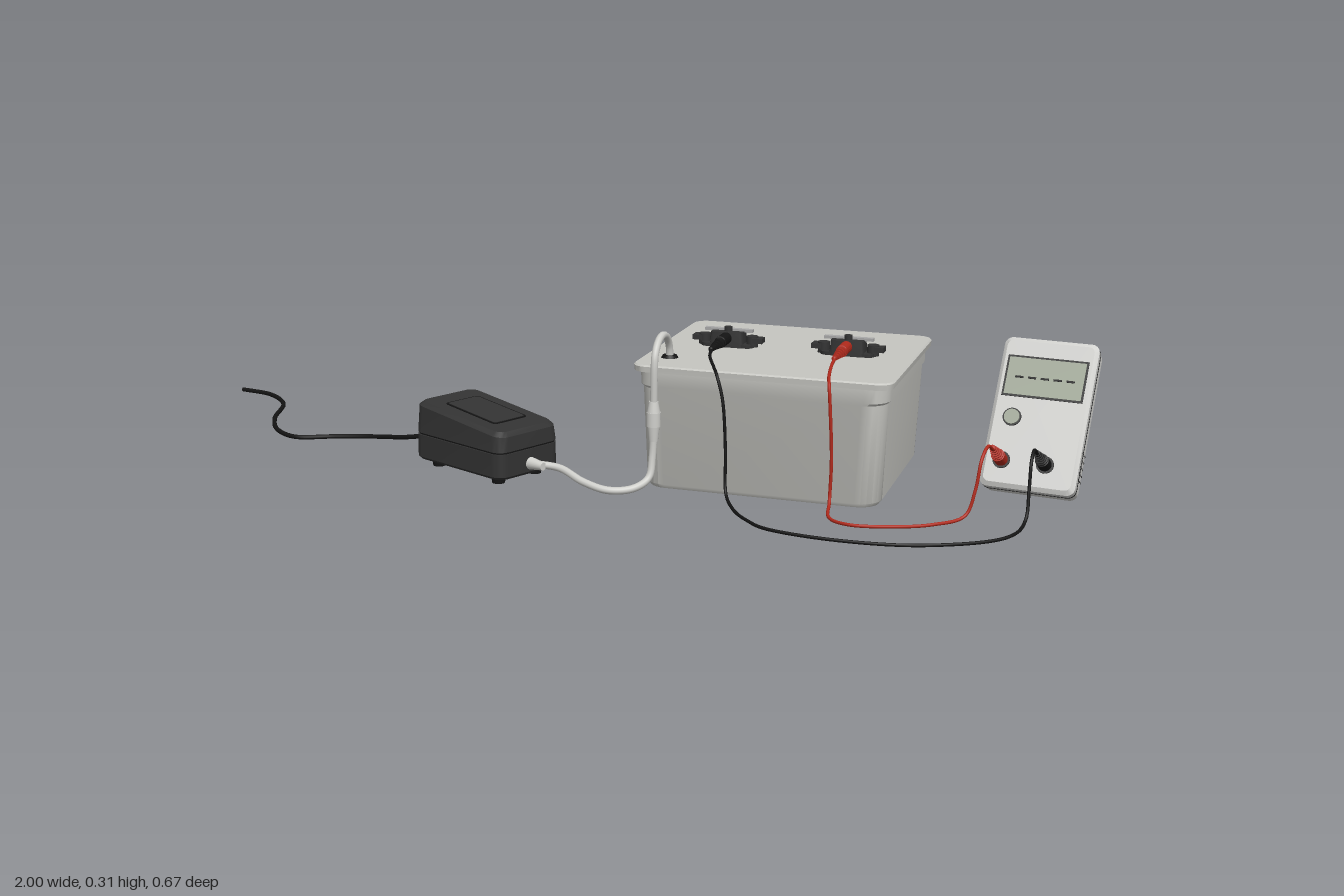
import * as THREE from 'three';
import { toCreasedNormals } from 'three/addons/utils/BufferGeometryUtils.js';

const material = (name, color) => Object.assign(new THREE.MeshStandardMaterial({ color }), { name });
const tubGrey = material('tub grey', 0xc6c6c1);
const caseGrey = material('case grey', 0xd2d2cf);
const cordGrey = material('cord grey', 0xcfcfcb);
const charcoal = material('charcoal', 0x333333);
const black = material('black', 0x141414);
const red = material('red', 0xb02a1c);
const screenGreen = material('screen green', 0xa3aa9a);
const metal = material('metal', 0xa9a9a9);

// Adds a named mesh to a parent
function add(parent, name, geometry, mat, x = 0, y = 0, z = 0) {
  const mesh = new THREE.Mesh(geometry, mat);
  mesh.name = name;
  mesh.position.set(x, y, z);
  parent.add(mesh);
  return mesh;
}

function group(parent, name, x = 0, y = 0, z = 0) {
  const g = new THREE.Group();
  g.name = name;
  g.position.set(x, y, z);
  parent.add(g);
  return g;
}

const box = (w, h, d) => new THREE.BoxGeometry(w, h, d);
const rod = (r1, r2, h) => new THREE.CylinderGeometry(r1, r2, h, 20);
const rodZ = (front, back, h) => rod(front, back, h).rotateX(Math.PI / 2);

// Closed solid through rounded rectangles [y, width, depth, cornerRadius]
function loft(sections, bend = (x, y) => y) {
  const rings = sections.map(([y, w, d, r]) => {
    const ring = [];
    for (let c = 0; c < 4; c++) {
      const sx = c === 0 || c === 3 ? 1 : -1, sz = c < 2 ? 1 : -1;
      for (let i = 0; i <= 6; i++) {
        const a = (c + i / 6) * Math.PI / 2;
        const x = sx * (w / 2 - r) + r * Math.cos(a);
        ring.push([x, bend(x, y), sz * (d / 2 - r) + r * Math.sin(a)]);
      }
    }
    return ring;
  });
  const pos = [], n = rings[0].length;
  const tri = (...points) => points.forEach((p) => pos.push(...p));
  const bottom = [0, bend(0, sections[0][0]), 0];
  const top = [0, bend(0, sections.at(-1)[0]), 0];
  for (let i = 0; i < n; i++) {
    const j = (i + 1) % n;
    for (let k = 0; k < rings.length - 1; k++) {
      const p = rings[k], q = rings[k + 1];
      tri(p[i], q[i], p[j]);
      tri(p[j], q[i], q[j]);
    }
    tri(bottom, rings[0][i], rings[0][j]);
    tri(top, rings.at(-1)[j], rings.at(-1)[i]);
  }
  const g = new THREE.BufferGeometry();
  g.setAttribute('position', new THREE.Float32BufferAttribute(pos, 3));
  return toCreasedNormals(g, 0.6);
}

// Cable through a few points
function cable(parent, name, points, radius, mat, segments = 120) {
  const curve = new THREE.CatmullRomCurve3(points.map((p) => new THREE.Vector3(...p)));
  return add(parent, name, new THREE.TubeGeometry(curve, segments, radius, 10), mat);
}

// Ribbed, tapering cable boot pointing along +z from the origin
function boot(length, r1, r2) {
  const pts = [new THREE.Vector2(0, 0), new THREE.Vector2(r1, 0), new THREE.Vector2(r1, length * 0.4)];
  for (let i = 0; i < 6; i++) {
    const r = THREE.MathUtils.lerp(r1 * 0.9, r2, i / 5), y = length * (0.42 + i * 0.1);
    pts.push(new THREE.Vector2(r * 0.7, y), new THREE.Vector2(r, y + 0.001), new THREE.Vector2(r, y + length * 0.05), new THREE.Vector2(r * 0.7, y + length * 0.055));
  }
  pts.push(new THREE.Vector2(0, length));
  return toCreasedNormals(new THREE.LatheGeometry(pts, 18).rotateX(Math.PI / 2), 0.6);
}

function buildTub(root) {
  const tub = group(root, 'tub', 0.383, 0, -0.106);
  add(tub, 'tubBody', loft([[0, 0.46, 0.42, 0.04], [0.008, 0.472, 0.43, 0.045], [0.203, 0.488, 0.442, 0.045],
    [0.208, 0.497, 0.447, 0.045], [0.238, 0.498, 0.448, 0.045]]), tubGrey);
  add(tub, 'lid', loft([[0.237, 0.513, 0.458, 0.03], [0.248, 0.515, 0.46, 0.03], [0.251, 0.509, 0.454, 0.028]]), tubGrey);
}

// Bolted terminal with a cable boot pointing to the front
function buildTerminal(root, name, x, bootMat) {
  const t = group(root, name, x, 0.25, -0.108);
  add(t, 'basePlate', loft([[0, 0.11, 0.042, 0.015], [0.008, 0.11, 0.042, 0.015]]), charcoal);
  add(t, 'block', loft([[0, 0.07, 0.044, 0.006], [0.032, 0.066, 0.04, 0.006]]), charcoal);
  add(t, 'topKnob', rod(0.008, 0.008, 0.01), charcoal, 0, 0.036, 0.003);
  add(t, 'contactBar', box(0.1, 0.006, 0.012), metal, 0, 0.033, -0.005);
  add(t, 'rearContact', rodZ(0.014, 0.014, 0.012), metal, 0, 0.017, -0.026);
  for (const s of [-1, 1]) {
    add(t, 'wingNut', rod(0.012, 0.012, 0.022), charcoal, s * 0.05, 0.013, 0);
    add(t, 'wing', box(0.02, 0.01, 0.026), charcoal, s * 0.063, 0.016, 0);
  }
  add(t, 'cableBoot', boot(0.12, 0.012, 0.005), bootMat, 0, 0.02, 0.015);
}

function buildPowerSupply(root) {
  const p = group(root, 'powerSupply', -0.193, 0, 0.095);
  p.rotation.y = -0.436;
  // The top falls towards the output end
  const slope = (x, y) => (y > 0.09 ? y - x * 0.11 : y);
  const shell = (y0, y1, w, d) => [[y0, w - 0.012, d - 0.012, 0.02], [y0 + 0.006, w, d, 0.024], [y1, w, d, 0.024]];
  add(p, 'lowerShell', loft(shell(0.015, 0.068, 0.262, 0.168)), charcoal);
  add(p, 'seam', loft([[0.067, 0.256, 0.162, 0.022], [0.073, 0.256, 0.162, 0.022]]), black);
  add(p, 'upperShell', loft([[0.072, 0.262, 0.168, 0.024], [0.116, 0.256, 0.162, 0.024], [0.124, 0.238, 0.144, 0.018]], slope), charcoal);
  add(p, 'topPanel', loft([[0.1235, 0.15, 0.09, 0.008], [0.1255, 0.15, 0.09, 0.008]], slope), black);
  add(p, 'topPanelInset', loft([[0.125, 0.142, 0.082, 0.006], [0.1263, 0.142, 0.082, 0.006]], slope), charcoal);
  for (const x of [-0.09, 0.09]) for (const z of [-0.05, 0.05]) add(p, 'foot', rod(0.015, 0.013, 0.016), black, x, 0.008, z);
  for (const s of [-1, 1]) {
    const relief = add(p, 'strainRelief', rod(0.008, 0.014, 0.045), s < 0 ? charcoal : cordGrey, s * 0.145, 0.038, 0);
    relief.rotation.z = -s * Math.PI / 2;
  }
}

function buildMeter(root) {
  const meter = group(root, 'meter', 0.893, 0, -0.108);
  meter.rotation.y = -0.13;
  const m = group(meter, 'meterCase', 0, 0.152, 0);
  m.rotation.x = -0.53;
  const shell = loft([[-0.029, 0.165, 0.285, 0.012], [-0.022, 0.181, 0.302, 0.016], [0.022, 0.185, 0.306, 0.016],
    [0.029, 0.17, 0.29, 0.012]]).rotateX(Math.PI / 2);
  add(m, 'caseShell', shell, caseGrey);
  add(m, 'caseSeam', loft([[0.003, 0.185, 0.306, 0.016], [0.006, 0.185, 0.306, 0.016]]).rotateX(Math.PI / 2), black);
  // Display
  add(m, 'screenFrame', box(0.158, 0.084, 0.002), charcoal, 0, 0.072, 0.0295);
  add(m, 'screen', box(0.15, 0.076, 0.002), screenGreen, 0, 0.072, 0.0305);
  for (let i = 0; i < 5; i++) add(m, 'displayDash', box(0.016, 0.004, 0.001), black, -0.05 + i * 0.025, 0.07, 0.032);
  // Dial, button and sockets
  add(m, 'dialRim', rodZ(0.018, 0.018, 0.004), charcoal, -0.05, -0.012, 0.03);
  add(m, 'dial', rodZ(0.015, 0.016, 0.008), screenGreen, -0.05, -0.012, 0.031);
  for (const [x, mat, name] of [[-0.055, red, 'redPlug'], [0.03, black, 'blackPlug']]) {
    add(m, 'socket', rodZ(0.017, 0.017, 0.004), charcoal, x, -0.1, 0.03);
    add(m, name, boot(0.085, 0.013, 0.006), mat, x, -0.1, 0.029);
  }
  // Side vents
  for (const s of [-1, 1]) for (let i = 0; i < 4; i++) for (let j = 0; j < 5; j++) {
    add(m, 'ventHole', box(0.001, 0.003, 0.003), charcoal, s * 0.0918, -0.115 + j * 0.013, -0.017 + i * 0.009);
  }
  // Back details
  for (const x of [-0.068, 0.068]) for (const y of [-0.125, 0.125]) add(m, 'caseScrew', rodZ(0.008, 0.008, 0.002), charcoal, x, y, -0.029);
  add(m, 'backPlate', box(0.11, 0.17, 0.003), caseGrey, 0, -0.03, -0.03);
  for (let i = 0; i < 3; i++) add(m, 'backSlot', box(0.03, 0.004, 0.002), charcoal, 0, 0.075 + i * 0.01, -0.0295);
  // Folding stand
  const shape = new THREE.Shape([[-0.05, 0.08], [-0.035, -0.08], [0.035, -0.08], [0.05, 0.08]].map((p) => new THREE.Vector2(...p)));
  const stand = add(meter, 'stand', new THREE.ExtrudeGeometry(shape, { depth: 0.01, bevelEnabled: false }).translate(0, 0, -0.005), caseGrey, 0, 0.079, -0.065);
  stand.rotation.x = 0.33;
}

// Pale lead from the power supply, up the tub and over into the lid
function buildOutputLead(root) {
  const lead = group(root, 'outputLead');
  const arch = [];
  for (let i = 0; i <= 8; i++) {
    const a = i / 8 * Math.PI;
    arch.push([0.18, 0.255 + 0.05 * Math.sin(a), 0.088 + 0.05 * Math.cos(a)]);
  }
  cable(lead, 'outputCord', [[-0.06, 0.039, 0.155], [-0.01, 0.035, 0.155], [0.05, 0.02, 0.183], [0.105, 0.011, 0.192],
    [0.15, 0.014, 0.172], [0.172, 0.03, 0.145], [0.176, 0.07, 0.134], [0.178, 0.16, 0.134], ...arch, [0.18, 0.245, 0.038]], 0.0075, cordGrey, 160);
  add(lead, 'inlineConnector', rod(0.014, 0.014, 0.028), cordGrey, 0.178, 0.147, 0.134);
  add(lead, 'connectorNeck', rod(0.009, 0.013, 0.022), cordGrey, 0.178, 0.172, 0.134);
  add(lead, 'connectorTail', rod(0.012, 0.009, 0.03), cordGrey, 0.178, 0.118, 0.134);
  add(lead, 'grommet', rod(0.014, 0.018, 0.006), black, 0.18, 0.253, 0.038);
}

export function createModel() {
  const root = new THREE.Group();
  root.name = 'batteryChargingSet';
  buildTub(root);
  buildTerminal(root, 'blackTerminal', 0.26, black);
  buildTerminal(root, 'redTerminal', 0.508, red);
  buildPowerSupply(root);
  buildMeter(root);
  buildOutputLead(root);
  cable(root, 'mainsCord', [[-1, 0.005, -0.325], [-0.917, 0.005, -0.304], [-0.843, 0.005, -0.235], [-0.795, 0.005, -0.107],
    [-0.736, 0.005, -0.016], [-0.672, 0.005, 0.021], [-0.597, 0.005, -0.01], [-0.5, 0.011, -0.02], [-0.42, 0.025, 0.012],
    [-0.35, 0.038, 0.028], [-0.32, 0.038, 0.038]], 0.005, black);
  cable(root, 'redWire', [[0.508, 0.27, 0.01], [0.51, 0.264, 0.05], [0.518, 0.254, 0.11], [0.525, 0.245, 0.138], [0.53, 0.2, 0.145],
    [0.535, 0.1, 0.143], [0.535, 0.02, 0.15], [0.545, 0.004, 0.197], [0.59, 0.004, 0.229], [0.67, 0.004, 0.213], [0.736, 0.004, 0.176],
    [0.788, 0.012, 0.125], [0.803, 0.06, 0.113], [0.81, 0.115, 0.1], [0.816, 0.134, 0.07], [0.821, 0.119, 0.032]], 0.0032, red, 160);
  cable(root, 'blackWire', [[0.26, 0.27, 0.01], [0.266, 0.264, 0.05], [0.292, 0.254, 0.11], [0.305, 0.245, 0.135], [0.32, 0.2, 0.145],
    [0.328, 0.1, 0.147], [0.333, 0.02, 0.158], [0.36, 0.004, 0.205], [0.405, 0.004, 0.267], [0.45, 0.004, 0.304], [0.6, 0.004, 0.327],
    [0.75, 0.004, 0.3], [0.88, 0.004, 0.2], [0.9, 0.018, 0.132], [0.901, 0.07, 0.113], [0.901, 0.12, 0.1], [0.902, 0.136, 0.075],
    [0.905, 0.12, 0.04]], 0.0032, black, 180);
  return root;
}
